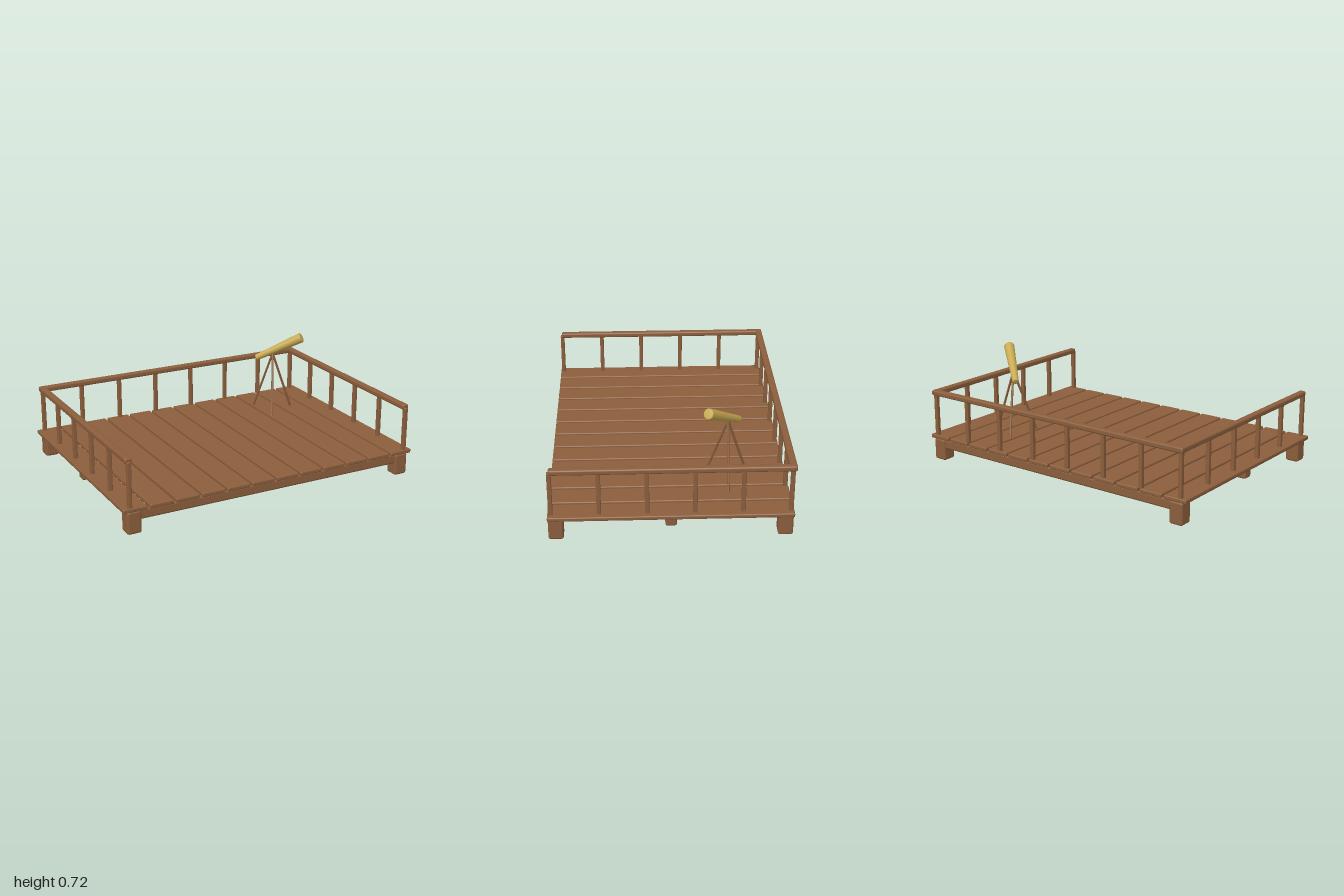
import * as THREE from 'three';
import { RoundedBoxGeometry } from 'three/addons/geometries/RoundedBoxGeometry.js';

export function createModel() {
  const model = new THREE.Group();
  model.name = 'deckWithTelescope';
  const wood = new THREE.MeshStandardMaterial({ color: 0x8b5e3c });
  wood.name = 'wood';
  const brass = new THREE.MeshStandardMaterial({ color: 0xc8a951 });
  brass.name = 'brass';

  // softened timber block given by its size and centre
  const timber = (name, size, centre, radius) => {
    const mesh = new THREE.Mesh(new RoundedBoxGeometry(...size, 2, radius), wood);
    mesh.name = name;
    mesh.position.set(...centre);
    model.add(mesh);
  };

  // floor planks
  const pitch = 0.168;
  for (let i = 0; i < 12; i++) {
    timber('plank', [0.152, 0.026, 1.444], [(i - 5.5) * pitch, 0.152, 0], 0.007);
  }

  // beams under the floor
  for (const z of [-0.675, 0, 0.675]) {
    timber('beam', [1.95, 0.062, 0.068], [0, 0.11, z], 0.012);
  }

  // corner feet
  for (const x of [-0.93, 0.93]) {
    for (const z of [-0.675, 0.675]) {
      timber('foot', [0.09, 0.142, 0.09], [x, 0.071, z], 0.014);
    }
  }

  // railing posts along the back
  const post = (x, z) => timber('railingPost', [0.026, 0.285, 0.026], [x, 0.303, z], 0.005);
  for (let i = 0; i < 8; i++) post(-0.953 + i * 0.2723, -0.703);

  // railing posts and top rails along both sides
  for (const x of [-0.953, 0.953]) {
    for (let i = 1; i < 6; i++) post(x, -0.703 + i * 0.281);
    timber('sideRail', [0.043, 0.034, 1.41], [x, 0.45, 0], 0.01);
  }
  timber('backRail', [1.95, 0.034, 0.043], [0, 0.45, -0.705], 0.01);

  // telescope: three splayed legs and a tapering barrel
  const telescope = new THREE.Group();
  telescope.name = 'telescope';
  model.add(telescope);
  const up = new THREE.Vector3(0, 1, 0);
  const aim = (mesh, a, b) => {
    mesh.position.copy(a).add(b).multiplyScalar(0.5);
    mesh.quaternion.setFromUnitVectors(up, b.clone().sub(a).normalize());
    telescope.add(mesh);
  };

  const apex = new THREE.Vector3(0.598, 0.572, -0.353);
  for (let i = 0; i < 3; i++) {
    const angle = (i * Math.PI * 2) / 3;
    const toe = new THREE.Vector3(
      apex.x + 0.15 * Math.cos(angle), 0.163, apex.z + 0.15 * Math.sin(angle));
    const leg = new THREE.Mesh(
      new THREE.CylinderGeometry(0.0075, 0.0075, toe.distanceTo(apex), 10), wood);
    leg.name = 'tripodLeg';
    aim(leg, toe, apex);
  }

  const eyeEnd = new THREE.Vector3(0.511, 0.532, -0.428);
  const lensEnd = new THREE.Vector3(0.749, 0.698, -0.221);
  const h = eyeEnd.distanceTo(lensEnd) / 2;
  const profile = [
    [0, -h], [0.017, -h], [0.021, -h + 0.005],
    [0.034, h - 0.008], [0.032, h - 0.003], [0.027, h], [0, h],
  ].map(([r, y]) => new THREE.Vector2(r, y));
  const barrel = new THREE.Mesh(new THREE.LatheGeometry(profile, 24), brass);
  barrel.name = 'barrel';
  aim(barrel, eyeEnd, lensEnd);

  return model;
}
